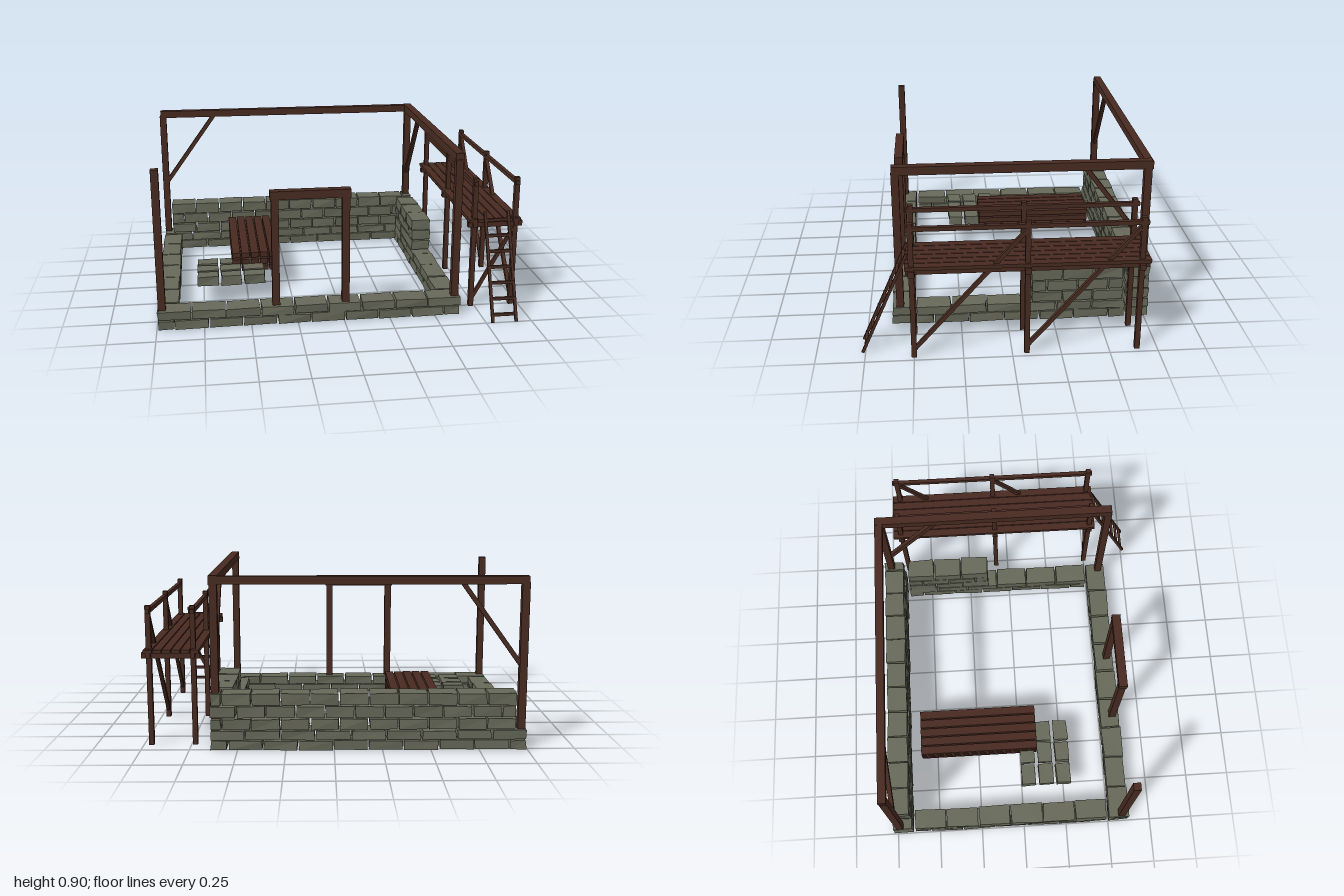
import * as THREE from 'three';

const stone = new THREE.MeshStandardMaterial({ color: 0x676959, flatShading: true });
stone.name = 'greyGreenStone';
const wood = new THREE.MeshStandardMaterial({ color: 0x482b21, flatShading: true });
wood.name = 'darkWood';

// Small seeded generator for uneven stones
let seed = 7;
function rand() {
  seed = (seed * 16807) % 2147483647;
  return seed / 2147483647;
}

function part(parent, name) {
  const g = new THREE.Group();
  g.name = name;
  parent.add(g);
  return g;
}

// Axis-aligned timber given by its extents
function timber(parent, name, x0, x1, y0, y1, z0, z1) {
  const m = new THREE.Mesh(new THREE.BoxGeometry(x1 - x0, y1 - y0, z1 - z0), wood);
  m.name = name;
  m.position.set((x0 + x1) / 2, (y0 + y1) / 2, (z0 + z1) / 2);
  parent.add(m);
}

function post(parent, name, x, z, y0, y1, t) {
  timber(parent, name, x - t / 2, x + t / 2, y0, y1, z - t / 2, z + t / 2);
}

// Slanted timber between two points
function strut(parent, name, a, b, t) {
  const p = new THREE.Vector3(...a), q = new THREE.Vector3(...b);
  const m = new THREE.Mesh(new THREE.BoxGeometry(t, t, p.distanceTo(q)), wood);
  m.name = name;
  m.position.copy(p).add(q).multiplyScalar(0.5);
  m.lookAt(q);
  parent.add(m);
}

// Block with slightly shifted corners
function block(parent, x0, x1, y0, y1, z0, z1) {
  const geo = new THREE.BoxGeometry(x1 - x0, y1 - y0, z1 - z0);
  const p = geo.attributes.position;
  const shift = Array.from({ length: 8 }, () => [0, 1, 2].map(() => (rand() - 0.5) * 0.008));
  for (let i = 0; i < p.count; i++) {
    const s = shift[(p.getX(i) > 0 ? 1 : 0) + (p.getY(i) > 0 ? 2 : 0) + (p.getZ(i) > 0 ? 4 : 0)];
    p.setXYZ(i, p.getX(i) + s[0], p.getY(i) + s[1] * 0.6, p.getZ(i) + s[2]);
  }
  geo.computeVertexNormals();
  const m = new THREE.Mesh(geo, stone);
  m.name = 'stoneBlock';
  m.position.set((x0 + x1) / 2, (y0 + y1) / 2, (z0 + z1) / 2);
  parent.add(m);
}

// Row of blocks along x or z, optionally starting with a half block
function course(parent, axis, from, to, c0, c1, y0, y1, pitch, half) {
  const gap = 0.004;
  let a = from, first = half;
  while (to - a > 0.02) {
    let b = a + (first ? pitch / 2 : pitch);
    if (to - b < pitch * 0.3) b = to;
    if (axis === 'x') block(parent, a + gap, b - gap, y0, y1, c0, c1);
    else block(parent, c0, c1, y0, y1, a + gap, b - gap);
    a = b;
    first = false;
  }
}

export function createModel() {
  const model = new THREE.Group();
  model.name = 'buildingSite';

  // Two foundation courses all around
  const base = part(model, 'foundation');
  [[0.003, 0.051], [0.056, 0.103]].forEach(([y0, y1], i) => {
    const half = i === 0;
    course(base, 'x', -0.997, 0.64, 0.503, 0.617, y0, y1, 0.182, half);
    course(base, 'x', -0.997, 0.64, -0.77, -0.657, y0, y1, 0.182, half);
    course(base, 'z', -0.645, 0.49, -0.995, -0.885, y0, y1, 0.189, half);
    course(base, 'z', -0.645, 0.49, 0.53, 0.64, y0, y1, 0.189, half);
  });

  // Raised back wall and short raised piece of the left wall
  const upper = part(model, 'raisedWall');
  [[0.11, 0.165], [0.174, 0.232], [0.239, 0.3]].forEach(([y0, y1], i) => {
    course(upper, 'x', -0.94, 0.64, -0.77, -0.657, y0, y1, 0.152, i === 1);
    course(upper, 'z', -0.63, -0.13, 0.53, 0.64, y0, y1, 0.166, i === 1);
  });

  // Timber frame
  const frame = part(model, 'timberFrame');
  post(frame, 'frontPost', -0.97, 0.575, 0.1, 0.87, 0.04);
  post(frame, 'frontPost', 0.612, 0.575, 0.1, 0.87, 0.04);
  post(frame, 'backPost', -0.97, -0.73, 0.1, 0.87, 0.04);
  post(frame, 'backPost', 0.612, -0.73, 0.1, 0.87, 0.04);
  timber(frame, 'backBeam', -0.985, 0.635, 0.86, 0.902, -0.755, -0.712);
  timber(frame, 'sideBeam', 0.589, 0.635, 0.86, 0.905, -0.75, 0.592);
  strut(frame, 'backBrace', [-0.96, 0.44, -0.73], [-0.645, 0.875, -0.73], 0.024);
  strut(frame, 'sideBrace', [0.612, 0.45, -0.72], [0.612, 0.87, -0.405], 0.024);

  // Door frame
  const door = part(model, 'doorFrame');
  post(door, 'doorPost', -0.365, 0.575, 0.1, 0.695, 0.04);
  post(door, 'doorPost', 0.01, 0.575, 0.1, 0.695, 0.04);
  timber(door, 'lintel', -0.39, 0.035, 0.69, 0.735, 0.552, 0.6);

  // Stacked planks and spare stones
  const planks = part(model, 'plankStack');
  for (let layer = 0; layer < 3; layer++) {
    const y = 0.115 + layer * 0.04;
    for (let i = 0; i < 5; i++) {
      const x = -0.58 + i * 0.0535;
      timber(planks, 'stackedPlank', x, x + 0.046, y, y + 0.03, -0.583, 0.1);
    }
  }
  const pile = part(model, 'spareStones');
  for (let i = 0; i < 3; i++) {
    for (let j = 0; j < 3; j++) {
      const x = -0.78 + i * 0.13, z = j * 0.103;
      block(pile, x, x + 0.116, 0.107, 0.16, z, z + 0.083);
    }
  }

  // Scaffold
  const scaffold = part(model, 'scaffold');
  const bays = [0.5, -0.075, -0.645];
  for (const x of [0.73, 0.96]) {
    for (const z of bays) post(scaffold, 'scaffoldPost', x, z, 0, 0.74, 0.027);
    timber(scaffold, 'handRail', x - 0.011, x + 0.011, 0.7, 0.722, -0.67, 0.523);
    timber(scaffold, 'ledger', x - 0.012, x + 0.012, 0.47, 0.496, -0.685, 0.53);
  }
  for (const z of bays) timber(scaffold, 'crossBeam', 0.695, 0.998, 0.465, 0.496, z - 0.016, z + 0.016);
  for (let i = 0; i < 6; i++) {
    const x = 0.697 + i * 0.0485;
    timber(scaffold, 'deckPlank', x, x + 0.044, 0.496, 0.515, -0.69, 0.533);
  }
  strut(scaffold, 'sideBrace', [0.96, 0.045, 0.495], [0.96, 0.7, -0.08], 0.02);
  strut(scaffold, 'sideBrace', [0.96, 0.045, -0.08], [0.96, 0.7, -0.645], 0.02);
  strut(scaffold, 'endBrace', [0.735, 0.045, 0.5], [0.96, 0.465, 0.5], 0.018);

  // Ladder leaning on the deck
  const ladder = part(model, 'ladder');
  const foot = [0.005, 0.763], top = [0.555, 0.522];
  for (const x of [0.782, 0.911]) strut(ladder, 'ladderRail', [x, ...foot], [x, ...top], 0.015);
  for (let i = 0; i < 7; i++) {
    const y = 0.045 + i * 0.078;
    const z = foot[1] + (top[1] - foot[1]) * (y - foot[0]) / (top[0] - foot[0]);
    timber(ladder, 'rung', 0.775, 0.918, y - 0.008, y + 0.008, z - 0.007, z + 0.007);
  }
  return model;
}
